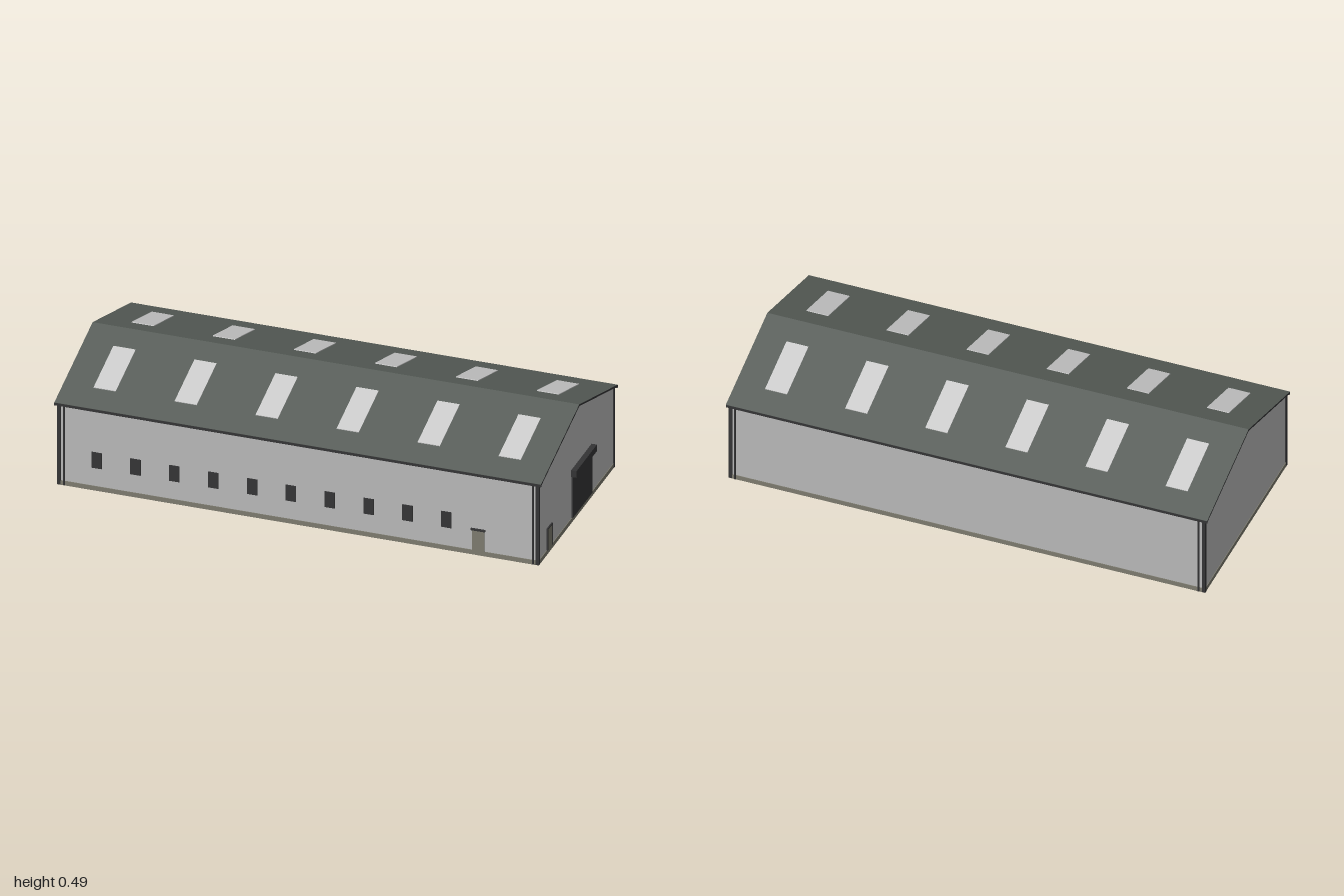
import * as THREE from 'three';

const mat = (name, color) => new THREE.MeshStandardMaterial({ name, color });

export function createModel() {
  const wall = mat('wall grey', 0xb8b8b8);
  const roofGreen = mat('roof green grey', 0x575d58);
  const light = mat('skylight grey', 0xcacaca);
  const trim = mat('dark trim', 0x343435);
  const concrete = mat('concrete and doors', 0x7c7a6e);

  const model = new THREE.Group();
  model.name = 'warehouse';
  const add = (name, geometry, material) => {
    const mesh = new THREE.Mesh(geometry, material);
    mesh.name = name;
    model.add(mesh);
    return mesh;
  };
  // Box given by its extents on each axis
  const box = (name, material, [x0, x1], [y0, y1], [z0, z1]) => {
    const mesh = add(name, new THREE.BoxGeometry(x1 - x0, y1 - y0, z1 - z0), material);
    mesh.position.set((x0 + x1) / 2, (y0 + y1) / 2, (z0 + z1) / 2);
    return mesh;
  };
  // Gable profile in (z, y), extruded along x
  const alongX = (points, x0, x1) => {
    const shape = new THREE.Shape(points.map(([z, y]) => new THREE.Vector2(z, y)));
    return new THREE.ExtrudeGeometry(shape, { depth: x1 - x0, bevelEnabled: false })
      .rotateY(Math.PI / 2).translate(x0, 0, 0);
  };

  const x0 = -0.986, x1 = 0.978, zw = 0.427;
  const ridge = 0.49, slope = 0.303, eave = 0.436, thick = 0.008;
  const roofY = (z) => ridge - slope * Math.abs(z);

  // Walls and plinth
  const wallTop = roofY(zw) - thick;
  add('walls', alongX([[-zw, 0.01], [zw, 0.01], [zw, wallTop], [0, ridge - thick], [-zw, wallTop]], x0, x1), wall);
  box('plinth', concrete, [x0 - 0.003, x1 + 0.003], [0, 0.019], [-zw - 0.003, zw + 0.003]);

  // Roof with dark gable edges
  const e = roofY(eave);
  add('roof', alongX([
    [-eave, e], [-eave, e - thick], [0, ridge - thick], [eave, e - thick], [eave, e], [0, ridge],
  ], -1, 0.992), [trim, roofGreen]);

  for (const s of [-1, 1]) {
    // Gutter under each eave
    const gutter = box('gutter', trim, [-1, 0.992], [e - 0.012, e - 0.001], [0.43, 0.437]);
    gutter.position.z *= s;
    // Corner trims and downpipes
    for (const x of [x0 + 0.003, x1 - 0.003]) {
      const post = box('cornerTrim', trim, [x - 0.007, x + 0.007], [0.001, 0.352], [0.42, 0.431]);
      post.position.z *= s;
    }
    for (const x of [-0.962, 0.957]) {
      const pipe = add('downpipe', new THREE.CylinderGeometry(0.004, 0.004, 0.347, 8), trim);
      pipe.position.set(x, 0.1755, s * 0.43);
    }
    // Skylights lying on each slope
    for (let i = 0; i < 6; i++) {
      const length = 0.226 * Math.hypot(1, slope);
      const pane = add('skylight', new THREE.BoxGeometry(0.091, 0.004, length), light);
      pane.position.set(-0.832 + i * 0.3316, roofY(0.217) + 0.001, s * 0.217);
      pane.rotation.x = s * Math.atan(slope);
    }
  }

  // Front windows
  for (let i = 0; i < 10; i++) {
    const x = -0.829 + i * 0.159;
    box('window', trim, [x - 0.021, x + 0.021], [0.098, 0.166], [zw - 0.003, zw + 0.004]);
  }

  // Front door with canopy
  box('frontDoor', concrete, [0.708, 0.757], [0.015, 0.108], [zw - 0.003, zw + 0.004]);
  box('frontDoorCanopy', trim, [0.703, 0.762], [0.107, 0.114], [zw - 0.003, zw + 0.008]);

  // Side door with frame
  box('sideDoor', concrete, [x1 - 0.003, x1 + 0.004], [0.015, 0.107], [0.284, 0.33]);
  box('sideDoorFrameTop', trim, [x1 - 0.003, x1 + 0.006], [0.107, 0.112], [0.279, 0.336]);
  for (const z of [0.279, 0.331]) {
    box('sideDoorJamb', trim, [x1 - 0.003, x1 + 0.006], [0.018, 0.107], [z, z + 0.005]);
  }

  // Roller door and its housing
  box('rollerDoor', trim, [x1 - 0.003, x1 + 0.006], [0.018, 0.205], [-0.173, 0.052]);
  box('rollerHousing', trim, [x1 - 0.003, 1], [0.199, 0.227], [-0.178, 0.056]);

  return model;
}
